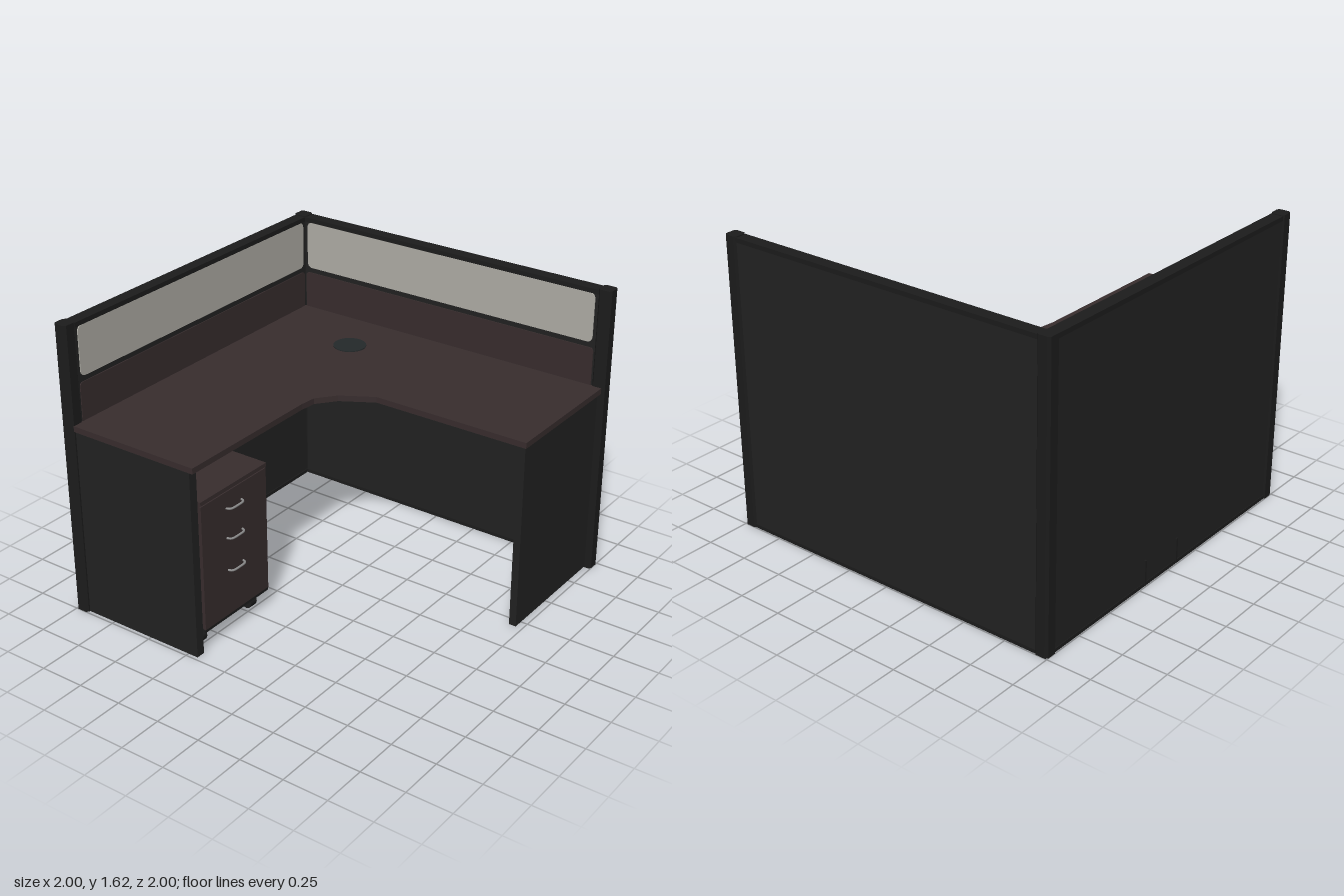
import * as THREE from 'three';

const mat = (name, color) => {
  const m = new THREE.MeshStandardMaterial({ color });
  m.name = name;
  return m;
};

export function createModel() {
  const black = mat('charcoal panel', 0x222222);
  const frame = mat('black frame', 0x1c1c1c);
  const brown = mat('dark brown laminate', 0x382d2e);
  const glass = mat('frosted glass', 0xb0aea6);
  const grey = mat('grommet grey', 0x24292a);
  const metal = mat('brushed metal', 0x8c8c8c);

  const model = new THREE.Group();
  model.name = 'cubicleWorkstation';

  const add = (parent, name, geo, material, x = 0, y = 0, z = 0) => {
    const mesh = new THREE.Mesh(geo, material);
    mesh.name = name;
    mesh.position.set(x, y, z);
    parent.add(mesh);
    return mesh;
  };
  // Box given by its minimum and maximum corners
  const box = (parent, name, material, [x0, y0, z0], [x1, y1, z1]) =>
    add(parent, name, new THREE.BoxGeometry(x1 - x0, y1 - y0, z1 - z0), material,
      (x0 + x1) / 2, (y0 + y1) / 2, (z0 + z1) / 2);
  const group = (name, parent = model) => {
    const g = new THREE.Group();
    g.name = name;
    parent.add(g);
    return g;
  };
  // Thin rounded plate facing +z
  const plate = (x0, y0, x1, y1, r, depth = 0.006) => {
    const s = new THREE.Shape();
    s.moveTo(x0 + r, y0);
    s.absarc(x1 - r, y0 + r, r, -Math.PI / 2, 0);
    s.absarc(x1 - r, y1 - r, r, 0, Math.PI / 2);
    s.absarc(x0 + r, y1 - r, r, Math.PI / 2, Math.PI);
    s.absarc(x0 + r, y0 + r, r, Math.PI, Math.PI * 1.5);
    return new THREE.ExtrudeGeometry(s, { depth, bevelEnabled: false, curveSegments: 5 });
  };

  // Partition walls, inner side facing local +z
  const wall = (name) => {
    const g = group(name);
    box(g, 'panel', black, [-0.93, 0.02, -0.03], [0.93, 1.595, 0.028]);
    box(g, 'topRail', frame, [-0.93, 1.595, -0.034], [0.93, 1.62, 0.034]);
    box(g, 'bottomRail', frame, [-0.93, 0.0, -0.034], [0.93, 0.02, 0.034]);
    add(g, 'windowPane', plate(-0.91, 1.325, 0.91, 1.595, 0.03), glass, 0, 0, 0.027);
    add(g, 'lowerTile', plate(-0.92, 1.06, 0.92, 1.295, 0.02), brown, 0, 0, 0.027);
    return g;
  };
  const backWall = wall('backWall');
  backWall.position.z = -0.96;
  const sideWall = wall('sideWall');
  sideWall.position.x = 0.96;
  sideWall.rotation.y = -Math.PI / 2;

  // Posts with chamfered corners
  const postShape = new THREE.Shape();
  const a = 0.038, b = 0.026;
  [[a, -b], [a, b], [b, a], [-b, a], [-a, b], [-a, -b], [-b, -a], [b, -a]]
    .forEach(([x, y], i) => (i ? postShape.lineTo(x, y) : postShape.moveTo(x, y)));
  const postGeo = new THREE.ExtrudeGeometry(postShape, { depth: 1.625, bevelEnabled: false });
  postGeo.rotateX(-Math.PI / 2);
  for (const [x, z] of [[-0.962, -0.962], [0.962, -0.962], [0.962, 0.962]])
    add(model, 'post', postGeo, frame, x, 0, z);

  // L-shaped desktop with a curved inner corner
  const top = new THREE.Shape();
  [[-0.99, -0.16], [-0.13, -0.16], [-0.04, -0.15], [0.06, -0.07], [0.16, 0.1],
    [0.16, 0.985], [0.93, 0.985], [0.93, -0.93], [-0.99, -0.93]]
    .forEach(([x, z], i) => (i ? top.lineTo(x, -z) : top.moveTo(x, -z)));
  const topGeo = new THREE.ExtrudeGeometry(top, { depth: 0.032, bevelEnabled: false });
  topGeo.rotateX(-Math.PI / 2);
  add(model, 'desktop', topGeo, brown, 0, 1.055, 0);
  add(model, 'cableGrommet', new THREE.CylinderGeometry(0.09, 0.09, 0.008, 32), grey, 0.61, 1.088, -0.39);

  // Desk end panels
  box(model, 'leftEndPanel', black, [-0.98, 0, -0.93], [-0.93, 1.055, -0.19]);
  box(model, 'frontEndPanel', black, [0.19, 0.005, 0.925], [0.925, 1.055, 0.965]);

  // Drawer pedestal
  const pedestal = group('drawerPedestal');
  box(pedestal, 'cabinet', brown, [-0.905, 0.125, -0.87], [-0.405, 0.835, -0.2]);
  box(pedestal, 'cabinetTop', brown, [-0.915, 0.838, -0.88], [-0.4, 0.86, -0.185]);
  box(pedestal, 'cabinetBase', frame, [-0.912, 0.108, -0.875], [-0.402, 0.125, -0.19]);
  box(pedestal, 'drawerFront', brown, [-0.91, 0.125, -0.2], [-0.402, 0.83, -0.188]);

  // Bowed drawer handles
  const bow = new THREE.CatmullRomCurve3([[-0.06, 0], [-0.05, 0.022], [0, 0.028], [0.05, 0.022], [0.06, 0]]
    .map(([x, z]) => new THREE.Vector3(x, 0, z)));
  const handleGeo = new THREE.TubeGeometry(bow, 16, 0.006, 8);
  for (const y of [0.74, 0.57, 0.385]) add(pedestal, 'drawerHandle', handleGeo, metal, -0.66, y, -0.19);

  // Casters
  const wheelGeo = new THREE.CylinderGeometry(0.036, 0.036, 0.046, 20);
  wheelGeo.rotateZ(Math.PI / 2);
  for (const x of [-0.86, -0.455])
    for (const z of [-0.82, -0.28]) {
      const c = group('caster', pedestal);
      c.position.set(x, 0, z);
      add(c, 'wheel', wheelGeo, frame, 0, 0.036, 0);
      box(c, 'fork', frame, [-0.027, 0.045, -0.028], [0.027, 0.085, 0.022]);
      add(c, 'stem', new THREE.CylinderGeometry(0.014, 0.014, 0.03, 12), frame, 0, 0.097, 0);
    }

  // Power outlets near the floor, with a fixing strip on the outside
  for (const [x, w] of [[-0.105, 0.06], [0.12, 0.08]]) {
    const outlet = group('powerOutlet');
    outlet.position.set(x, 0.12, -0.932);
    add(outlet, 'coverPlate', plate(-w, -0.05, w, 0.05, 0.018, 0.012), brown);
    for (const s of [-1, 1])
      add(outlet, 'socket', plate(-0.018, -0.022, 0.018, 0.022, 0.006, 0.004), frame, s * w * 0.5, 0, 0.011);
  }
  box(model, 'plugLead', brown, [-0.085, 0.02, -0.932], [-0.055, 0.08, -0.922]);
  for (const x of [-0.075, 0.2])
    box(model, 'fixingStrip', frame, [x - 0.006, 0.01, -1.0], [x + 0.006, 0.15, -0.98]);

  return model;
}
